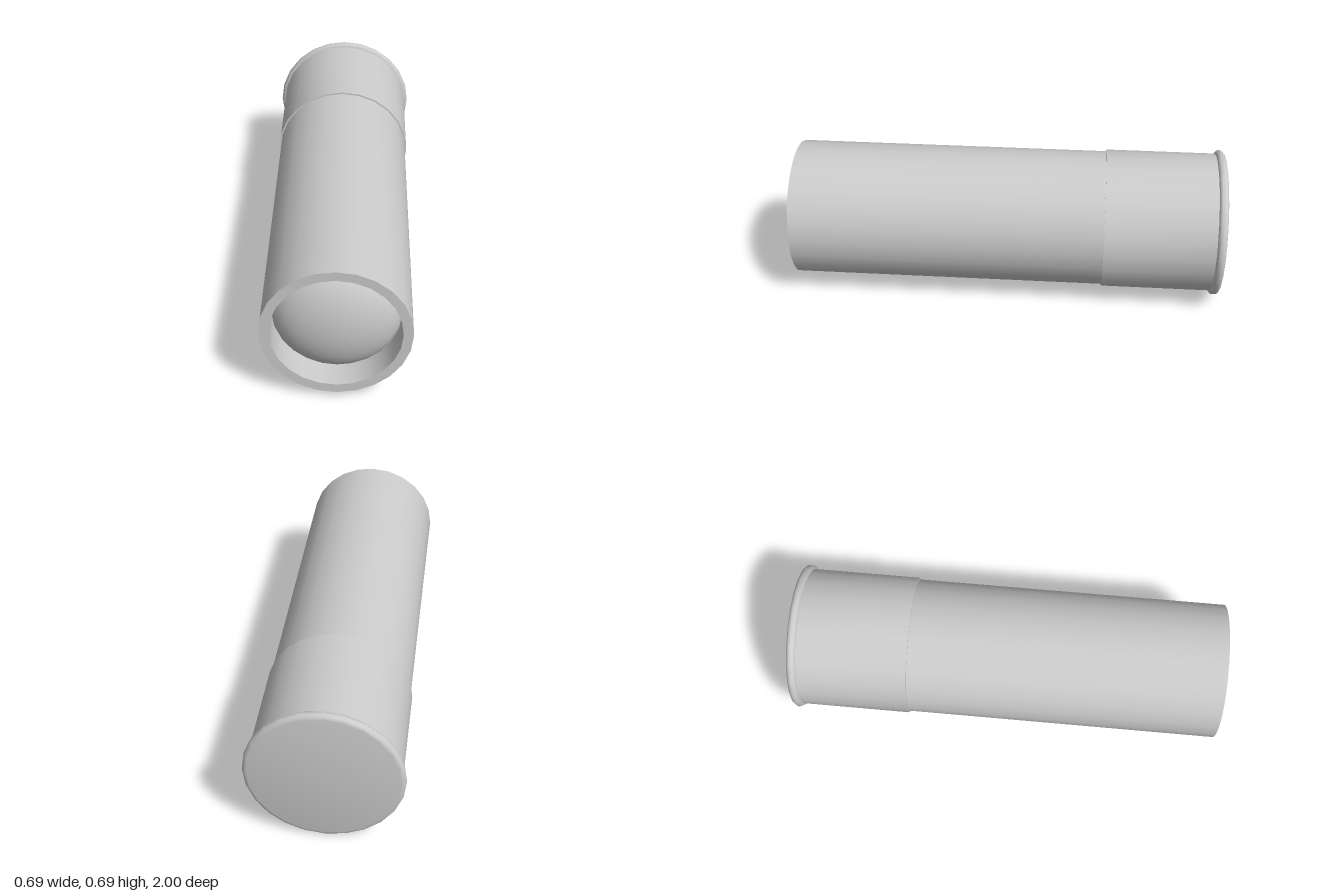
import * as THREE from 'three';
import { toCreasedNormals } from 'three/addons/utils/BufferGeometryUtils.js';

const SIDES = 24;
const RADIUS = 0.3425; // widest radius, at the base rim

// Revolve [radius, z] pairs around the z axis
function revolve(name, profile) {
  const points = profile.map(([r, z]) => new THREE.Vector2(r, z));
  const geometry = new THREE.LatheGeometry(points, SIDES).rotateX(Math.PI / 2);
  const material = new THREE.MeshStandardMaterial({ color: 0xcccccc });
  const mesh = new THREE.Mesh(toCreasedNormals(geometry, 0.62), material);
  mesh.name = name;
  return mesh;
}

// Elliptical arc of [radius, z] pairs between two angles
function arc(r, z, rx, rz, from, to, steps) {
  return Array.from({ length: steps + 1 }, (_, i) => {
    const a = from + (to - from) * i / steps;
    return [Math.max(0, r + rx * Math.cos(a)), z + rz * Math.sin(a)];
  });
}

export function createModel() {
  const model = new THREE.Group();
  model.name = 'cartridge';

  // Long tube with a flat lip and a recessed mouth
  model.add(revolve('tube', [
    [0.317, -0.45], [0.317, 1], [0.275, 1], [0.275, 0.83],
  ]));

  // Flattened dome closing the mouth inside the recess
  model.add(revolve('mouthDome', arc(0, 0.845, 0.275, 0.14, 0, Math.PI / 2, 10)));

  // Slightly wider sleeve at the back
  model.add(revolve('sleeve', [
    [0.325, -0.965], [0.325, -0.45], [0.316, -0.45],
  ]));

  // Rounded base rim with the closed back face
  const bead = 0.0215;
  model.add(revolve('baseRim', [
    [0, -1],
    ...arc(RADIUS - bead, -1 + bead, bead, bead, -Math.PI / 2, Math.PI / 2, 8),
  ]));

  model.position.y = RADIUS;
  const root = new THREE.Group();
  root.add(model);
  return root;
}
